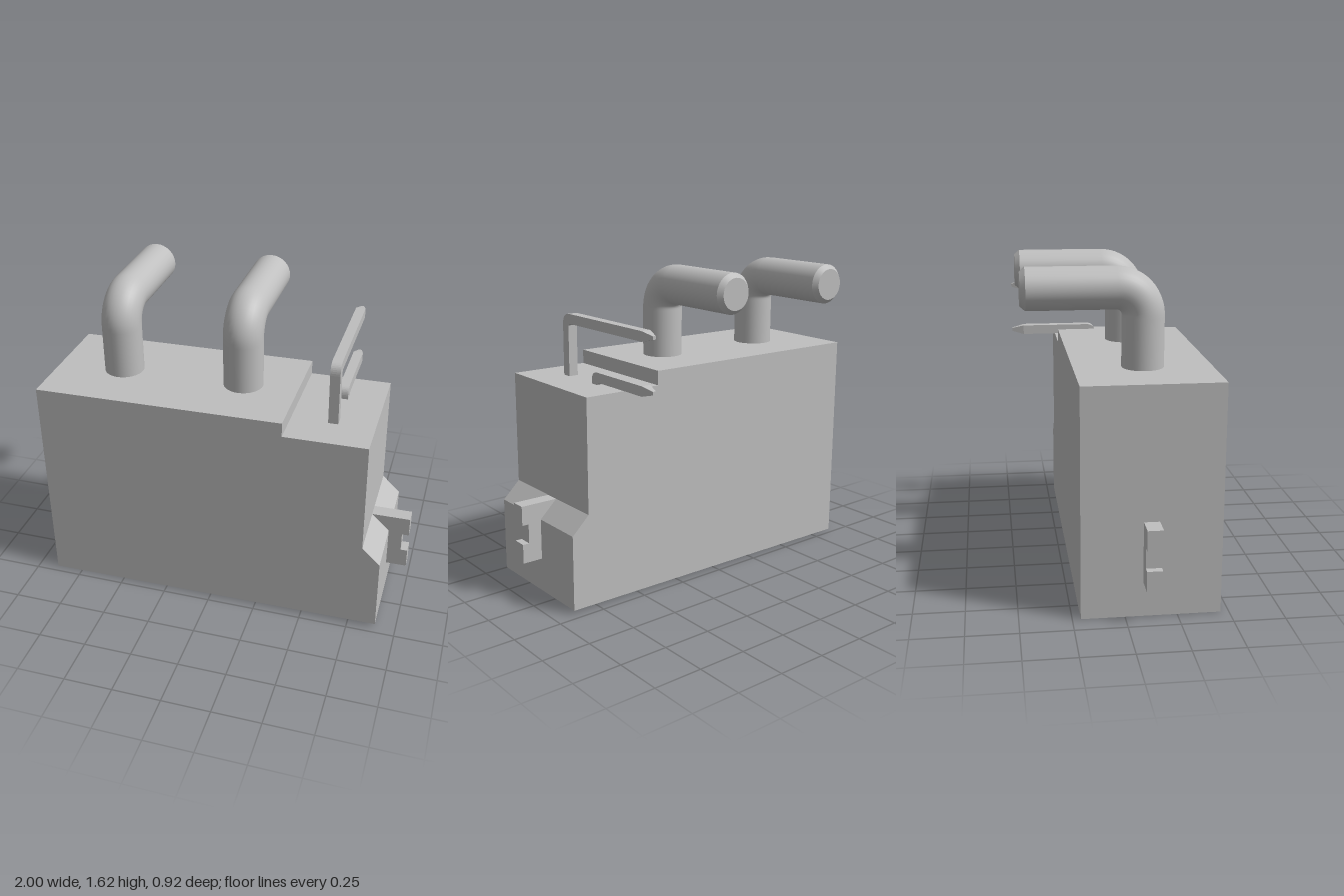
import * as THREE from 'three';

const ZB = -0.21, ZF = 0.46, ZC = 0.125;

export function createModel() {
  const grey = new THREE.MeshStandardMaterial({ color: 0xbfbfbf });
  grey.name = 'grey';
  const greyOpen = grey;
  greyOpen.side = THREE.DoubleSide;

  // everything leans very slightly about z
  const model = new THREE.Group();
  model.name = 'connector';
  const tilted = new THREE.Group();
  tilted.name = 'connectorAssembly';
  tilted.rotation.z = 0.0115;
  tilted.position.y = 0.0145;
  model.add(tilted);

  const add = (name, geometry, parent = tilted) => {
    const mesh = new THREE.Mesh(geometry, grey);
    mesh.name = name;
    parent.add(mesh);
    return mesh;
  };
  const poly = (pts) => new THREE.Shape(pts.map(([x, y]) => new THREE.Vector2(x, y)));
  const extrude = (shape, depth) =>
    new THREE.ExtrudeGeometry(shape, { depth, bevelEnabled: false, curveSegments: 10 });
  // plan outline (x, z) raised from y0 to y1
  const raise = (shape, y0, y1) => extrude(shape, y1 - y0).rotateX(Math.PI / 2).translate(0, y1, 0);
  // front outline (x, y) running from z0 to z1
  const across = (pts, z0, z1) => extrude(poly(pts), z1 - z0).translate(0, 0, z0);

  const rect = (x0, x1, z0, z1) => [[x0, z0], [x1, z0], [x1, z1], [x0, z1]];
  // cavity outlines, inset by d
  const largeCavity = (d) => {
    const x0 = -0.855 + d, x1 = 0.34 - d, z0 = ZB + 0.04 + d, z1 = ZF - 0.04 - d, c = 0.1;
    return [[x0, z0], [x1 - c, z0], [x1, z0 + c], [x1, z1 - c], [x1 - c, z1], [x0, z1]];
  };
  const smallCavity = (d, right = 0.855) => rect(0.41 + d, right - d, ZB + 0.04 + d, ZF - 0.04 - d);
  const layer = (name, right, holes, y0, y1) => {
    const s = poly(rect(-0.895, right, ZB, ZF));
    holes.forEach((h) => s.holes.push(poly(h)));
    add(name, raise(s, y0, y1));
  };

  // hollow housing, open underneath
  layer('housingRim', 0.895, [largeCavity(0), smallCavity(0)], 0, 0.05);
  layer('housingLowerWalls', 0.895, [largeCavity(0.035), smallCavity(0.035)], 0.05, 0.13);
  layer('housingInnerStep', 0.895, [largeCavity(0.035), smallCavity(0.06)], 0.13, 0.385);
  layer('housingUpperWalls', 0.803, [largeCavity(0.035), smallCavity(0.06, 0.8)], 0.385, 0.9);
  add('housingShoulder', across([[0.803, 0.385], [0.895, 0.385], [0.803, 0.475]], ZB, ZF));
  add('housingTop', across(
    [[-0.895, 0.9], [0.803, 0.9], [0.803, 1.057], [0.383, 1.057], [0.383, 1.13], [-0.895, 1.13]], ZB, ZF));

  // sloped lead-ins at the cavity mouths
  const leadIn = (name, outer, inner) => {
    const pos = [];
    outer.forEach((a, i) => {
      const j = (i + 1) % outer.length, b = outer[j], c = inner[j], d = inner[i];
      const A = [a[0], 0, a[1]], B = [b[0], 0, b[1]], C = [c[0], 0.05, c[1]], D = [d[0], 0.05, d[1]];
      pos.push(...A, ...B, ...C, ...A, ...C, ...D);
    });
    const g = new THREE.BufferGeometry();
    g.setAttribute('position', new THREE.Float32BufferAttribute(pos, 3));
    g.computeVertexNormals();
    add(name, g);
  };
  leadIn('largeCavityLeadIn', largeCavity(0), largeCavity(0.035));
  leadIn('smallCavityLeadIn', smallCavity(0), smallCavity(0.035));

  // notched keys on both ends
  const key = [[0.88, 0.175], [1, 0.175], [1, 0.275], [0.965, 0.275], [0.965, 0.375],
    [1, 0.375], [1, 0.475], [0.88, 0.475]];
  const rightKey = key.slice(0, 7).concat([[0.8, 0.475], [0.8, 0.4], [0.88, 0.4]]);
  add('leftEndKey', across(rightKey, 0.085, 0.16));
  add('rightEndKey', across(key.map(([x, y]) => [-x, y]).reverse(), 0.085, 0.16));

  // bent round power pins and their split sockets
  const R = 0.13, K = R * 0.5523, Y = 1.51, r = 0.102;
  const V = (y, z) => new THREE.Vector3(0, y, z);
  [-0.545, 0.1].forEach((x) => {
    const pin = new THREE.Group();
    pin.name = 'powerPin';
    pin.position.x = x;
    tilted.add(pin);
    const path = new THREE.CurvePath();
    path.add(new THREE.LineCurve3(V(1.1, ZC), V(Y - R, ZC)));
    path.add(new THREE.CubicBezierCurve3(V(Y - R, ZC), V(Y - R + K, ZC), V(Y, ZC - R + K), V(Y, ZC - R)));
    path.add(new THREE.LineCurve3(V(Y, ZC - R), V(Y, -0.43)));
    add('powerPinShaft', new THREE.TubeGeometry(path, 60, r, 32), pin);
    add('powerPinTip', new THREE.CylinderGeometry(0.08, r, 0.025, 32)
      .rotateX(-Math.PI / 2).translate(0, Y, -0.4425), pin);
    for (let i = 0; i < 4; i++) {
      const a = i * Math.PI / 2 + 0.12, b = (i + 1) * Math.PI / 2 - 0.12;
      const s = new THREE.Shape();
      s.absarc(0, 0, 0.12, a, b, false);
      s.absarc(0, 0, 0.09, b, a, true);
      add('socketFinger', raise(s, 0.2, 0.9).translate(0, 0, ZC), pin);
    }
  });

  // bent square signal pins
  const T = 0.05, tipZ = -0.395;
  [['tallSignalPin', 0.275, 1.378, 0.06], ['shortSignalPin', 0.02, 1.12, 0.05]].forEach(([name, z, top, c]) => {
    const pin = new THREE.Group();
    pin.name = name;
    pin.position.x = 0.595;
    tilted.add(pin);
    const s = new THREE.Shape();
    s.moveTo(z, 1.04);
    s.lineTo(z, top - c);
    s.quadraticCurveTo(z, top, z - c, top);
    s.lineTo(tipZ, top);
    s.lineTo(tipZ, top - T);
    s.lineTo(z - T - 0.01, top - T);
    s.lineTo(z - T, top - T - 0.01);
    s.lineTo(z - T, 1.04);
    add('signalPinShaft', extrude(s, T).rotateY(-Math.PI / 2).translate(T / 2, 0, 0), pin);
    const tip = new THREE.CylinderGeometry(0.012, T * Math.SQRT1_2, 0.065, 4).toNonIndexed();
    tip.computeVertexNormals();
    add('signalPinTip', tip.rotateY(Math.PI / 4).rotateX(-Math.PI / 2)
      .translate(0, top - T / 2, tipZ - 0.0325), pin);
  });

  return model;
}
